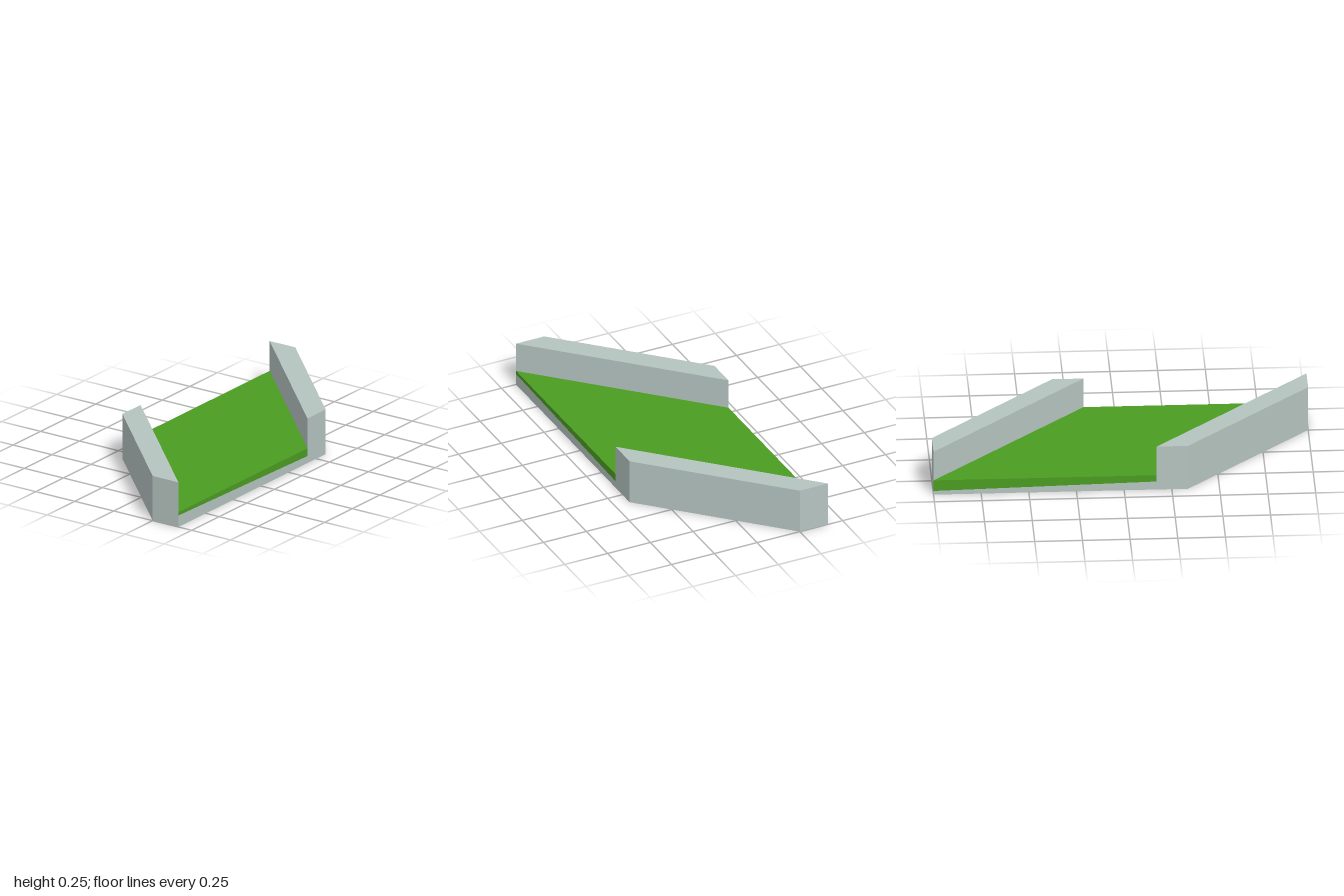
import * as THREE from 'three';

const X = 0.415;      // half width
const Z = 1;          // half length
const INNER = 0.17;   // near end of each wall's inner face
const OUTER = 0.335;  // near end of each wall's outer face
const FLOOR = 0.083;  // grass level
const WALL = 0.25;    // wall height

// Upright prism over [x, z] corners; bottom and top heights may vary with z
function prism(corners, bottom, top) {
  const shape = new THREE.Shape(corners.map(([x, z]) => new THREE.Vector2(x, -z)));
  const geo = new THREE.ExtrudeGeometry(shape, { depth: 1, bevelEnabled: false });
  geo.rotateX(-Math.PI / 2);
  const p = geo.attributes.position;
  for (let i = 0; i < p.count; i++) {
    const z = p.getZ(i);
    p.setY(i, THREE.MathUtils.lerp(bottom(z), top(z), p.getY(i)));
  }
  geo.computeVertexNormals();
  return geo;
}

export function createModel() {
  const stone = new THREE.MeshStandardMaterial({ color: 0xb5c4c0 });
  stone.name = 'pale grey stone';
  const grass = new THREE.MeshStandardMaterial({ color: 0x4b9c22 });
  grass.name = 'grass green';

  const model = new THREE.Group();
  model.name = 'diagonalWalledPlatform';
  const add = (name, geo, mat) => {
    const mesh = new THREE.Mesh(geo, mat);
    mesh.name = name;
    model.add(mesh);
    return mesh;
  };

  const ground = () => 0;
  const seam = (z) => 0.043 + 0.0214 * z; // gently sloping joint under the grass

  // Slanted floor: stone base with a wedge of grass on it
  const floor = [[-X, -Z], [X, -INNER], [X, Z], [-X, INNER]];
  add('floorBase', prism(floor, ground, seam), stone);
  add('grassTop', prism(floor, seam, () => FLOOR), grass);

  // Diagonal walls, the second a half turn of the first
  const wall = prism([[-X, -Z], [-0.25, -Z], [X, -OUTER], [X, -INNER]], ground, () => WALL);
  add('backWall', wall, stone);
  add('frontWall', wall, stone).rotation.y = Math.PI;

  return model;
}
